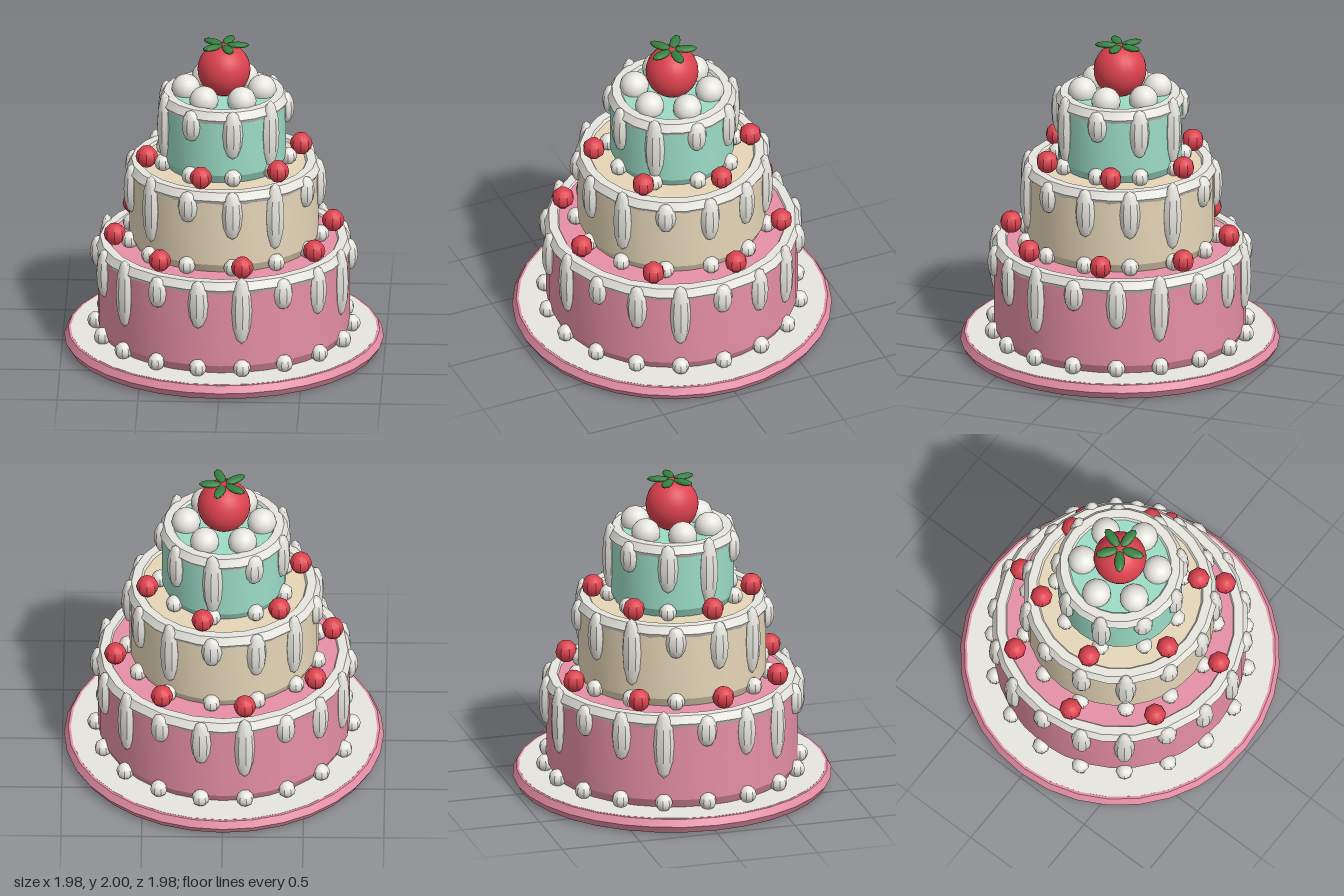
import * as THREE from 'three';
import { toCreasedNormals } from 'three/addons/utils/BufferGeometryUtils.js';

const paint = (name, color) => {
  const m = new THREE.MeshStandardMaterial({ color });
  m.name = name;
  return m;
};

export function createModel() {
  const cream = paint('cream', 0xefede6);
  const pink = paint('pink', 0xe68fa6);
  const beige = paint('beige', 0xe6d6b8);
  const mint = paint('mint', 0x9cdcc6);
  const red = paint('red', 0xdc424e);
  const green = paint('green', 0x358040);

  const cake = new THREE.Group();
  cake.name = 'tieredCake';

  const add = (parent, name, geometry, material, x = 0, y = 0, z = 0) => {
    const mesh = new THREE.Mesh(geometry, material);
    mesh.name = name;
    mesh.position.set(x, y, z);
    parent.add(mesh);
    return mesh;
  };

  // Calls place(x, z, angle, index) at even steps around a circle, from +x toward +z
  const around = (count, radius, start, place) => {
    for (let i = 0; i < count; i++) {
      const a = start + (i * Math.PI * 2) / count;
      place(Math.cos(a) * radius, Math.sin(a) * radius, a, i);
    }
  };

  // Six-sided ring lying flat
  const ring = (radius, tube, segments) =>
    toCreasedNormals(new THREE.TorusGeometry(radius, tube, 6, segments).rotateX(-Math.PI / 2), 0.6);

  // Cylinder with bevelled top and bottom edges
  const tierBody = (r, y0, y1) => {
    const profile = [[0, y0], [r - 0.03, y0], [r, y0 + 0.06], [r, y1 - 0.05], [r - 0.03, y1], [0, y1]];
    const points = profile.map(([x, y]) => new THREE.Vector2(x, y));
    return toCreasedNormals(new THREE.LatheGeometry(points, 32), 0.4);
  };

  const faceted = (r, w, h) => toCreasedNormals(new THREE.SphereGeometry(r, w, h), 0.6);
  const pearlShape = faceted(0.055, 8, 6);
  const cherryShape = faceted(0.07, 8, 6);
  const dripShape = faceted(1, 8, 6);

  // Plate
  const plate = new THREE.Group();
  plate.name = 'plate';
  cake.add(plate);
  add(plate, 'plateDisc', new THREE.CylinderGeometry(0.95, 0.93, 0.095, 32), cream, 0, 0.0475, 0);
  add(plate, 'plateRim', ring(0.94, 0.05, 32), pink, 0, 0.05, 0);

  // Tiers with icing ring, drips, base pearls and cherries
  const tiers = [
    { name: 'bottomTier', r: 0.78, y0: 0.09, y1: 0.69, ringY: 0.655, count: 18, lengths: [0, 2, 1],
      material: pink, cherries: 8, cherryR: 0.685, cherryStart: -0.2 },
    { name: 'middleTier', r: 0.585, y0: 0.685, y1: 1.205, ringY: 1.175, count: 13, lengths: [1, 0, 2],
      material: beige, cherries: 6, cherryR: 0.49, cherryStart: -0.26 },
    { name: 'topTier', r: 0.385, y0: 1.2, y1: 1.66, ringY: 1.63, count: 9, lengths: [0, 2, 1],
      material: mint, cherries: 0 },
  ];
  const dripBottom = [-0.16, -0.26, -0.36];
  const dripTop = [0.045, 0.06, 0.085];

  for (const t of tiers) {
    const tier = new THREE.Group();
    tier.name = t.name;
    cake.add(tier);
    add(tier, 'sponge', tierBody(t.r, t.y0, t.y1), t.material);
    add(tier, 'icingRing', ring(t.r - 0.04, 0.055, 24), cream, 0, t.ringY, 0);

    around(t.count, t.r, 0, (x, z, a, i) => {
      const k = t.lengths[i % 3];
      const drip = add(tier, 'icingDrip', dripShape, cream, x, t.ringY + (dripTop[k] + dripBottom[k]) / 2, z);
      drip.scale.set(0.05, (dripTop[k] - dripBottom[k]) / 2, 0.064);
      drip.rotation.y = -a;
    });
    around(t.count, t.r + 0.012, 0, (x, z, a) => {
      add(tier, 'basePearl', pearlShape, cream, x, t.y0 + 0.048, z).rotation.y = -a;
    });
    around(t.cherries, t.cherryR, t.cherryStart, (x, z) => {
      add(tier, 'cherry', cherryShape, red, x, t.y1 + 0.077, z);
    });
  }

  // Cream dollops around the strawberry
  const dollopShape = new THREE.SphereGeometry(0.09, 16, 12);
  around(6, 0.235, 0, (x, z) => add(cake, 'creamDollop', dollopShape, cream, x, 1.69, z));

  // Strawberry with five leaves
  const strawberry = new THREE.Group();
  strawberry.name = 'strawberry';
  cake.add(strawberry);
  add(strawberry, 'berry', new THREE.SphereGeometry(0.164, 24, 16), red, 0, 1.82, 0).scale.y = 1.02;
  const leafShape = faceted(1, 10, 6);
  around(5, 0.085, 0, (x, z, a) => {
    const leaf = add(strawberry, 'leaf', leafShape, green, x, 1.982, z);
    leaf.scale.set(0.072, 0.018, 0.032);
    leaf.rotation.y = -a;
  });

  return cake;
}
